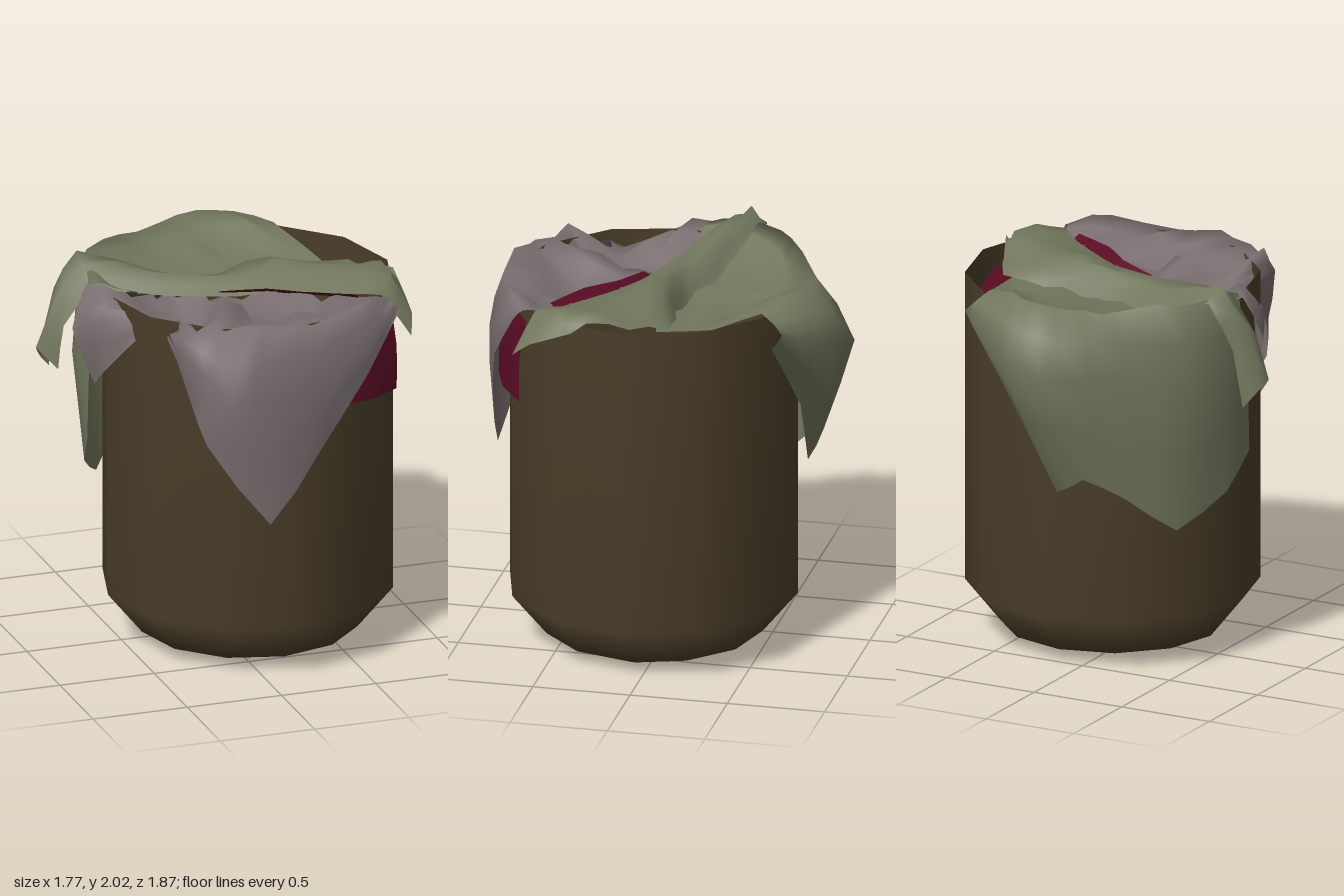
import * as THREE from 'three';

const mat = (name, color) => {
  const m = new THREE.MeshStandardMaterial({ color, side: THREE.DoubleSide });
  m.name = name;
  return m;
};

// repeatable crumple value in -1..1
const crumple = (i, j) => {
  const s = Math.sin(i * 12.99 + j * 78.23) * 43758.55;
  return 2 * (s - Math.floor(s)) - 1;
};

// evenly spaced points on a taut spline
const sample = (pts, sub) => {
  const n = (pts.length - 1) * sub;
  const curve = new THREE.CatmullRomCurve3(pts, false, 'catmullrom', 0.2);
  return Array.from({ length: n + 1 }, (_, i) => curve.getPoint(i / n));
};

// cloth sheet lofted through columns of [x, y, z] points running from inside to hem
function cloth(name, material, columns, amp, sub = 2) {
  const cols = columns.map(c => sample(c.map(p => new THREE.Vector3(...p)), sub));
  const rows = cols[0].map((_, r) => sample(cols.map(c => c[r]), sub));
  const nr = rows.length, nc = rows[0].length;
  const pos = [], index = [];
  rows.forEach((row, r) => row.forEach((p, c) => {
    const edge = r === nr - 1 || c === 0 || c === nc - 1;
    // creases are strongest on the inner, upper part of the sheet
    const a = edge ? 0 : amp * (r < nr * 0.45 ? 1 : 0.35);
    pos.push(p.x + a * 0.5 * crumple(r, c), p.y + a * crumple(c, r + 9), p.z + a * 0.5 * crumple(r + 5, c + 3));
    if (r < nr - 1 && c < nc - 1) {
      const k = r * nc + c;
      index.push(k, k + nc, k + 1, k + 1, k + nc, k + nc + 1);
    }
  }));
  const g = new THREE.BufferGeometry();
  g.setAttribute('position', new THREE.Float32BufferAttribute(pos, 3));
  g.setIndex(index);
  g.computeVertexNormals();
  const mesh = new THREE.Mesh(g, material);
  mesh.name = name;
  return mesh;
}

export function createModel() {
  const group = new THREE.Group();
  group.name = 'laundryBasket';
  const brown = mat('basket brown', 0x4b3e29);
  const green = mat('sage cloth', 0x72775d);
  const grey = mat('mauve grey cloth', 0x7a6f70);
  const red = mat('wine cloth', 0x5a0c23);

  // open basket with tapered foot; the bottom point sits off to one side
  const profile = [[0, 0], [0.56, 0.06], [0.74, 0.28], [0.74, 1.89]].map(p => new THREE.Vector2(...p));
  const body = new THREE.LatheGeometry(profile, 12);
  const bp = body.attributes.position;
  for (let i = 0; i < bp.count; i++) if (bp.getY(i) < 0.01) bp.setX(i, 0.42);
  const basket = new THREE.Mesh(body, brown);
  basket.name = 'basket';
  basket.position.set(0.143, 0, 0.078);
  group.add(basket);

  // green sheet filling the back and hanging over the rim
  group.add(cloth('backCloth', green, [
    [[-0.42, 1.86, 0.02], [-0.54, 1.89, 0.0], [-0.63, 1.92, -0.02], [-0.67, 1.5, 0.0], [-0.68, 1.1, 0.0]],
    [[-0.38, 1.84, -0.02], [-0.52, 1.89, -0.14], [-0.64, 1.95, -0.2], [-0.69, 1.5, -0.2], [-0.64, 0.92, -0.16]],
    [[-0.26, 1.8, -0.04], [-0.4, 1.87, -0.3], [-0.53, 1.95, -0.42], [-0.57, 1.5, -0.45], [-0.49, 0.76, -0.41]],
    [[-0.1, 1.79, -0.04], [-0.2, 1.85, -0.4], [-0.3, 1.93, -0.58], [-0.35, 1.6, -0.64], [-0.3, 0.95, -0.6]],
    [[0.1, 1.79, 0.0], [0.02, 1.84, -0.45], [-0.07, 1.93, -0.7], [0.01, 1.62, -0.92], [-0.13, 1.06, -0.73]],
    [[0.25, 1.79, 0.0], [0.2, 1.84, -0.45], [0.16, 1.95, -0.74], [0.21, 1.68, -0.93], [0.04, 0.96, -0.69]],
    [[0.45, 1.8, 0.0], [0.4, 1.85, -0.4], [0.33, 1.97, -0.66], [0.42, 1.75, -0.81], [0.24, 1.33, -0.7]],
    [[0.64, 1.82, -0.05], [0.6, 1.84, -0.33], [0.5, 1.91, -0.56], [0.57, 1.83, -0.68], [0.54, 1.74, -0.62]],
  ], 0.02));

  // rolled fold crossing the basket, with an end hanging over each side
  group.add(cloth('crossFold', green, [
    [[-0.79, 1.41, -0.27], [-0.84, 1.47, -0.26], [-0.89, 1.55, -0.18], [-0.8, 1.45, -0.1]],
    [[-0.74, 1.7, -0.28], [-0.78, 1.83, -0.24], [-0.8, 1.78, -0.16], [-0.77, 1.68, -0.1]],
    [[-0.62, 1.94, -0.33], [-0.65, 2.0, -0.24], [-0.64, 1.97, -0.16], [-0.62, 1.86, -0.08]],
    [[-0.3, 1.82, -0.2], [-0.3, 1.91, -0.12], [-0.3, 1.93, -0.03], [-0.28, 1.84, 0.07]],
    [[0.02, 1.78, -0.14], [0.03, 1.87, -0.02], [0.04, 1.91, 0.08], [0.05, 1.84, 0.19]],
    [[0.3, 1.78, -0.1], [0.29, 1.97, 0.0], [0.3, 1.92, 0.13], [0.3, 1.87, 0.28]],
    [[0.66, 1.84, -0.11], [0.61, 1.91, 0.1], [0.58, 1.92, 0.28], [0.55, 1.88, 0.45]],
    [[0.76, 1.88, 0.06], [0.8, 1.94, 0.25], [0.77, 1.94, 0.43], [0.68, 1.9, 0.56]],
    [[0.85, 1.92, 0.26], [0.86, 1.86, 0.34], [0.85, 1.78, 0.55], [0.81, 1.7, 0.65]],
  ], 0.02));

  // grey sheet crumpled inside the front, with a pointed corner hanging outside
  group.add(cloth('frontCloth', grey, [
    [[-0.45, 1.83, -0.12], [-0.58, 1.87, -0.08], [-0.67, 1.91, -0.05], [-0.76, 1.7, 0.0], [-0.66, 1.41, 0.05]],
    [[-0.34, 1.8, -0.06], [-0.46, 1.83, 0.08], [-0.6, 1.91, 0.13], [-0.68, 1.78, 0.15], [-0.64, 1.52, 0.16]],
    [[-0.25, 1.82, 0.0], [-0.3, 1.72, 0.24], [-0.35, 1.8, 0.38], [-0.41, 1.83, 0.42], [-0.45, 1.86, 0.45]],
    [[-0.15, 1.82, 0.05], [-0.22, 1.76, 0.4], [-0.4, 1.92, 0.65], [-0.43, 1.8, 0.73], [-0.38, 1.5, 0.73]],
    [[-0.05, 1.82, 0.08], [-0.1, 1.88, 0.42], [-0.28, 1.9, 0.76], [-0.25, 1.6, 0.91], [-0.33, 1.31, 0.82]],
    [[0.1, 1.83, 0.14], [0.05, 1.81, 0.5], [-0.05, 1.92, 0.84], [-0.1, 1.55, 0.94], [-0.03, 0.89, 0.92]],
    [[0.3, 1.84, 0.24], [0.24, 1.82, 0.55], [0.2, 1.92, 0.83], [0.22, 1.6, 0.91], [0.25, 1.24, 0.88]],
    [[0.45, 1.85, 0.34], [0.47, 1.85, 0.57], [0.5, 1.92, 0.74], [0.54, 1.75, 0.81], [0.52, 1.58, 0.81]],
    [[0.62, 1.86, 0.46], [0.66, 1.89, 0.54], [0.7, 1.9, 0.62], [0.73, 1.88, 0.65], [0.74, 1.85, 0.67]],
  ], 0.045));

  // wine red cloth: hanging square, a line beside the fold, and a patch inside the left rim
  group.add(cloth('redCorner', red, [
    [[0.35, 1.86, 0.77], [0.35, 1.65, 0.82], [0.38, 1.44, 0.82]],
    [[0.53, 1.86, 0.7], [0.55, 1.65, 0.74], [0.56, 1.43, 0.76]],
    [[0.72, 1.85, 0.6], [0.74, 1.65, 0.63], [0.74, 1.42, 0.63]],
  ], 0.015));
  group.add(cloth('redFold', red, [
    [[-0.05, 1.83, 0.1], [-0.03, 1.87, 0.17]],
    [[0.2, 1.84, 0.2], [0.18, 1.89, 0.26]],
    [[0.35, 1.84, 0.26], [0.33, 1.9, 0.39]],
    [[0.6, 1.86, 0.46], [0.57, 1.9, 0.51]],
  ], 0));
  group.add(cloth('redPatch', red, [
    [[0.58, 1.72, -0.42], [0.68, 1.75, -0.42]],
    [[0.58, 1.72, -0.15], [0.77, 1.76, -0.18]],
    [[0.66, 1.74, 0.1], [0.83, 1.8, 0.12]],
  ], 0));
  return group;
}
